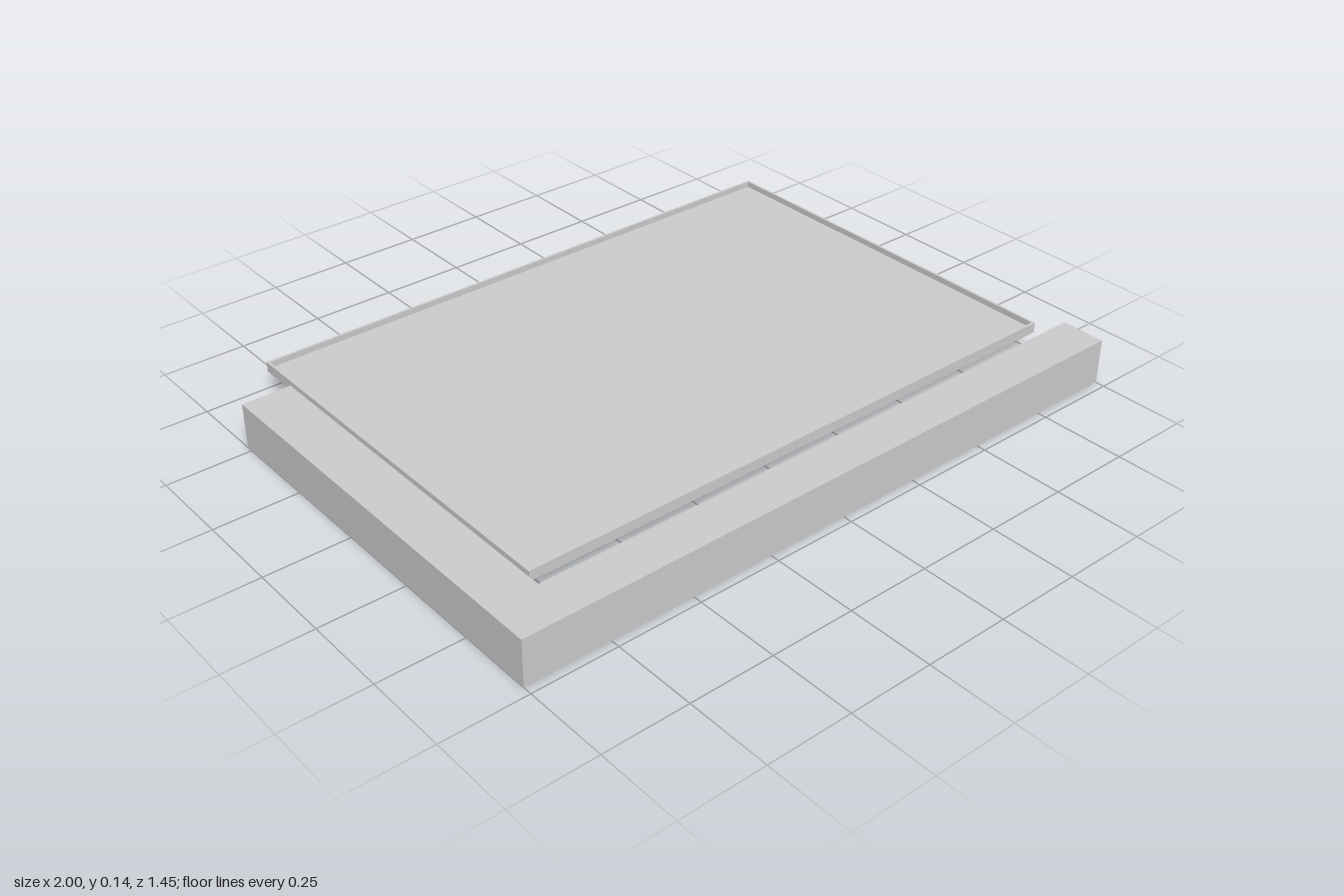
import * as THREE from 'three';

const material = new THREE.MeshStandardMaterial({ color: 0xcccccc });

// Closed outline in plan, given as [x, z] corners; shape y is -z
const outline = (Type, points) =>
  new Type(points.map(([x, z]) => new THREE.Vector2(x, -z)));

const rectangle = (x0, x1, z0, z1) => [[x0, z0], [x0, z1], [x1, z1], [x1, z0]];

// Raise a plan shape into a solid between two heights
function slab(name, shape, bottom, top) {
  const geometry = new THREE.ExtrudeGeometry(shape, { depth: top - bottom, bevelEnabled: false });
  geometry.rotateX(-Math.PI / 2);
  geometry.translate(0, bottom, 0);
  const mesh = new THREE.Mesh(geometry, material);
  mesh.name = name;
  return mesh;
}

export function createModel() {
  const model = new THREE.Group();
  model.name = 'trayWithCornerFrame';

  // L-shaped frame: long front bar and one side arm
  const frame = outline(THREE.Shape, [
    [-1, 0.723], [1, 0.723], [1, 0.59], [-0.855, 0.59], [-0.855, -0.52], [-1, -0.52],
  ]);
  model.add(slab('cornerFrame', frame, 0, 0.137));

  // Shallow tray: thin raised rim around a sunken floor
  const [x0, x1, z0, z1] = [-0.817, 0.985, -0.723, 0.5];
  const rim = 0.007;
  const inner = rectangle(x0 + rim, x1 - rim, z0 + rim, z1 - rim);
  const rimShape = outline(THREE.Shape, rectangle(x0, x1, z0, z1));
  rimShape.holes.push(outline(THREE.Path, inner));

  const tray = new THREE.Group();
  tray.name = 'tray';
  tray.add(slab('trayRim', rimShape, 0.07, 0.101));
  tray.add(slab('trayFloor', outline(THREE.Shape, inner), 0.07, 0.083));
  model.add(tray);

  return model;
}
